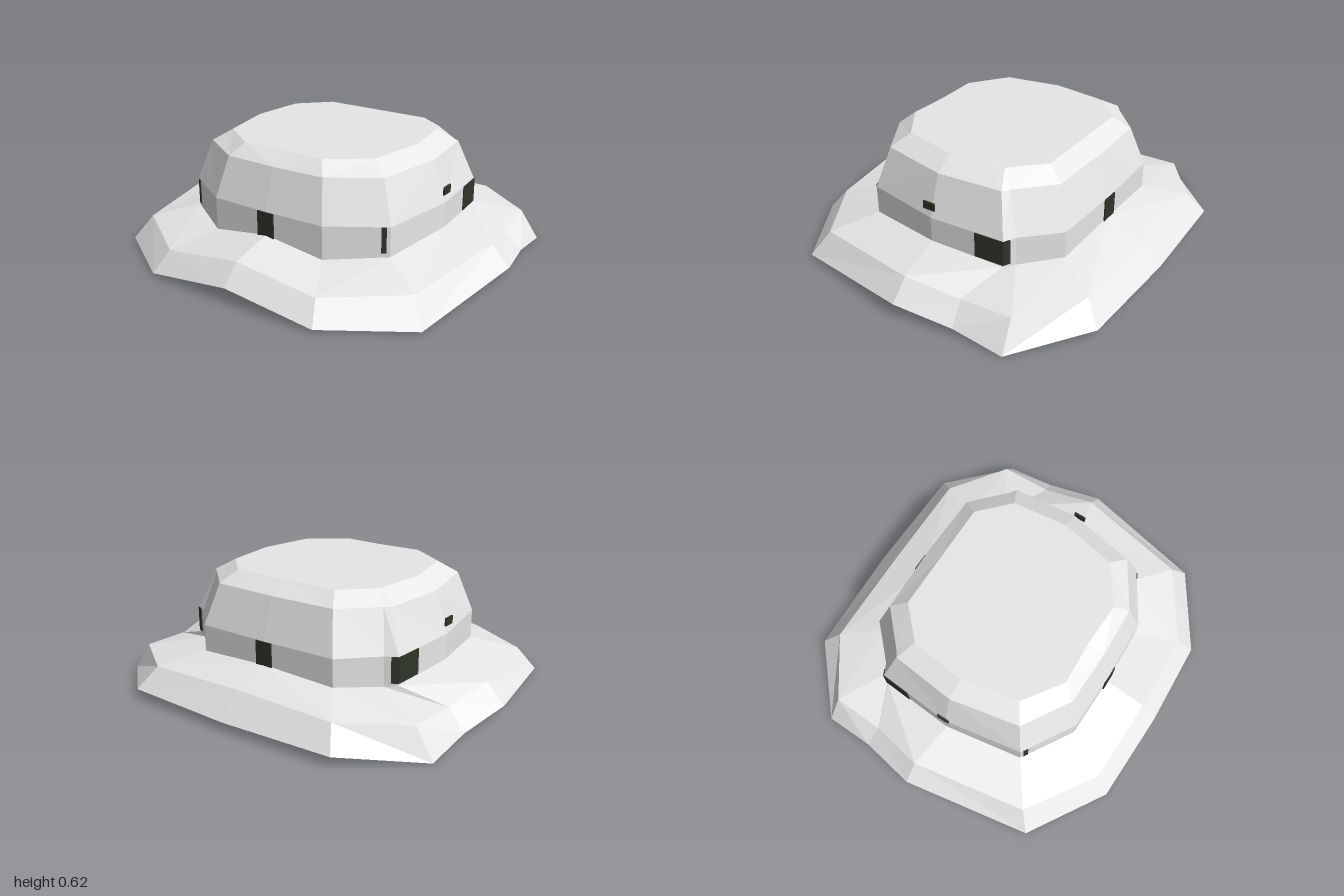
import * as THREE from 'three';

const cloth = new THREE.MeshStandardMaterial({ color: 0xe8e8e8, side: THREE.DoubleSide, flatShading: true });
cloth.name = 'light grey cloth';
const webbing = new THREE.MeshStandardMaterial({ color: 0x30352a });
webbing.name = 'dark olive webbing';

// Half outline [x, y, z] from front centre round to back centre, closed by mirroring
function ring(half) {
  const mirrored = half.slice(1, -1).reverse().map(([x, y, z]) => [-x, y, z]);
  return [...half, ...mirrored];
}

// Faceted skin through a stack of rings; a single point closes an end
function loft(name, rings) {
  const n = Math.max(...rings.map(r => r.length));
  const at = (r, i) => r[i % r.length];
  const pos = [];
  for (let k = 0; k < rings.length - 1; k++) {
    const [a, b] = [rings[k], rings[k + 1]];
    for (let i = 0; i < n; i++) {
      const [p, q, r, s] = [at(a, i), at(a, i + 1), at(b, i + 1), at(b, i)];
      // the diagonal flips on the mirrored half to stay symmetric
      const tris = i < n / 2 ? [[p, q, r], [p, r, s]] : [[p, q, s], [q, r, s]];
      for (const t of tris) {
        if (t[0] !== t[1] && t[1] !== t[2] && t[0] !== t[2]) pos.push(...t.flat());
      }
    }
  }
  const g = new THREE.BufferGeometry();
  g.setAttribute('position', new THREE.Float32BufferAttribute(pos, 3));
  g.computeVertexNormals();
  const mesh = new THREE.Mesh(g, cloth);
  mesh.name = name;
  return mesh;
}

function tab(name, width, height, x, y, z, turn) {
  const mesh = new THREE.Mesh(new THREE.BoxGeometry(width, height, 0.009), webbing);
  mesh.name = name;
  mesh.position.set(x, y, z);
  mesh.rotation.y = turn;
  return mesh;
}

export function createModel() {
  const hat = new THREE.Group();
  hat.name = 'bucketHat';

  // Crown outlines, [x, z]
  const wall = [[0, 0.585], [0.32, 0.575], [0.59, 0.41], [0.66, 0], [0.63, -0.4], [0.57, -0.43], [0.4, -0.595], [0, -0.605]];
  const shoulder = [[0, 0.52], [0.28, 0.51], [0.52, 0.36], [0.59, 0], [0.555, -0.34], [0.52, -0.365], [0.35, -0.525], [0, -0.535]];
  const rim = [[0, 0.43], [0.23, 0.44], [0.43, 0.3], [0.49, 0], [0.465, -0.22], [0.455, -0.29], [0.3, -0.44], [0, -0.44]];
  const level = (pts, y) => ring(pts.map(([x, z]) => [x, y, z]));

  // Crown closed by a flat base and a flat top
  hat.add(loft('crown', [
    [[0, 0.18, 0]],
    level(wall, 0.18),
    level(wall, 0.35),
    level(shoulder, 0.56),
    level(rim, 0.62),
    [[0, 0.62, 0]],
  ]));

  // The seam where the brim meets the crown rises and falls
  const seamY = [0.23, 0.18, 0.2, 0.22, 0.21, 0.2, 0.21, 0.23];
  const seam = ring(wall.map(([x, z], i) => [x, seamY[i], z]));

  // Wavy brim with an outer lip
  const lip = ring([[0, 0.08, 0.9], [0.48, 0.015, 0.885], [0.88, 0.01, 0.63], [1, 0.072, -0.04],
    [0.945, 0.035, -0.34], [0.935, 0, -0.605], [0.6, 0.05, -0.89], [0, 0.045, -0.91]]);
  const fold = ring([[0, 0.18, 0.81], [0.44, 0.12, 0.8], [0.8, 0.135, 0.56], [0.905, 0.172, -0.04],
    [0.853, 0.132, -0.32], [0.84, 0.146, -0.59], [0.54, 0.158, -0.8], [0, 0.17, -0.8]]);
  hat.add(loft('brim', [lip, fold, seam]));

  // Loops of the hat band, almost flush with the crown
  hat.add(tab('frontLoop', 0.095, 0.13, 0, 0.285, 0.586, 0));
  hat.add(tab('backLoop', 0.095, 0.13, 0, 0.285, -0.606, Math.PI));
  for (const s of [1, -1]) {
    const side = s > 0 ? 'left' : 'right';
    hat.add(tab(side + 'FrontLoop', 0.024, 0.13, s * 0.564, 0.285, 0.426, s * 0.55));
    hat.add(tab(side + 'RearLoop', 0.155, 0.13, s * 0.636, 0.285, -0.325, s * 1.646));
    hat.add(tab(side + 'RearLoopEnd', 0.035, 0.13, s * 0.615, 0.285, -0.408, s * 2.68));
    // Side vents
    hat.add(tab(side + 'Vent', 0.065, 0.04, s * 0.666, 0.42, 0, s * Math.PI / 2));
  }
  return hat;
}
